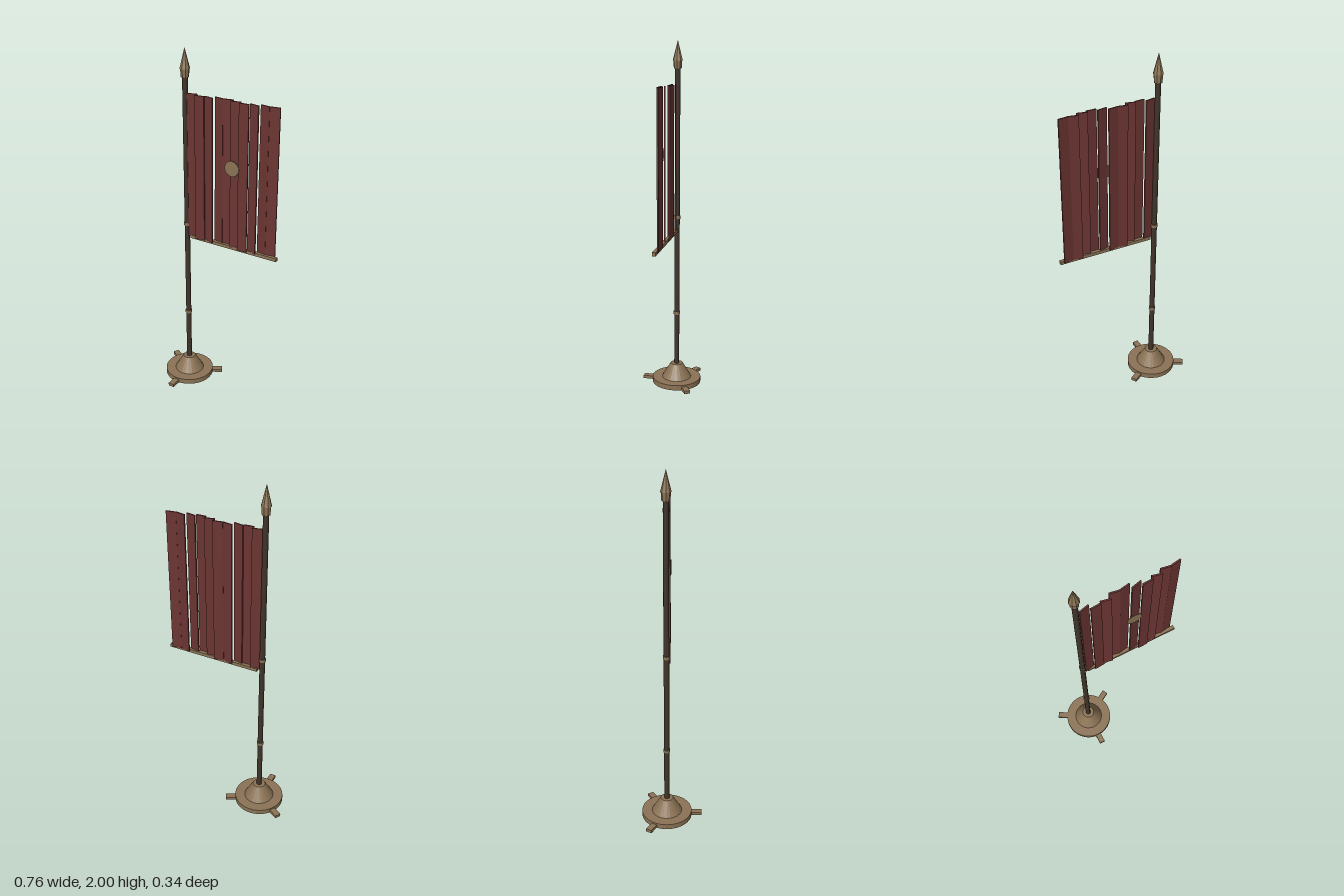
import * as THREE from 'three';

const brass = new THREE.MeshStandardMaterial({ color: 0x8b7355, flatShading: true });
const wood = new THREE.MeshStandardMaterial({ color: 0x40342a, flatShading: true });
const cloth = new THREE.MeshStandardMaterial({ color: 0x6b3533, flatShading: true });

const POLE_X = -0.197, POLE_Z = -0.03;

export function createModel() {
  const model = new THREE.Group();

  const add = (parent, name, geometry, material, x, y, z) => {
    const mesh = new THREE.Mesh(geometry, material);
    mesh.name = name;
    mesh.position.set(x, y, z);
    parent.add(mesh);
    return mesh;
  };
  // Upright round part between two heights
  const round = (parent, name, rTop, rBottom, y0, y1, sides, material) =>
    add(parent, name, new THREE.CylinderGeometry(rTop, rBottom, y1 - y0, sides), material, 0, (y0 + y1) / 2, 0);

  // Stand and pole share one axis
  const stand = new THREE.Group();
  stand.name = 'stand';
  stand.position.set(POLE_X, 0, POLE_Z);
  model.add(stand);

  round(stand, 'baseDisc', 0.143, 0.143, 0, 0.03, 32, brass);
  round(stand, 'baseCone', 0.036, 0.086, 0.03, 0.115, 24, brass);
  round(stand, 'pole', 0.015, 0.015, 0.1, 1.86, 12, wood);
  for (const y of [0.432, 1.01]) round(stand, 'poleRing', 0.019, 0.019, y - 0.009, y + 0.009, 12, brass);

  // Three feet spread evenly around the base
  for (let i = 0; i < 3; i++) {
    const foot = new THREE.Group();
    foot.name = 'foot';
    foot.rotation.y = (i * Math.PI * 2) / 3;
    add(foot, 'footBar', new THREE.BoxGeometry(0.035, 0.018, 0.1), brass, 0, 0.011, 0.151);
    stand.add(foot);
  }

  // Spear-shaped finial
  round(stand, 'finialCollar', 0.025, 0.022, 1.846, 1.892, 8, brass);
  round(stand, 'finialPoint', 0, 0.028, 1.89, 2, 8, brass);

  // Rippling banner made of tilted upright strips: [depth, turn]
  const banner = new THREE.Group();
  banner.name = 'banner';
  model.add(banner);
  const strips = [
    [-0.03, 0.25], [-0.016, 0.07], [-0.021, -0.22], [-0.04, -0.18], [-0.041, 0.17],
    [-0.027, 0.24], [-0.015, 0.03], [-0.026, -0.22], [-0.041, -0.17], [-0.042, 0.15],
  ];
  strips.forEach(([z, turn], i) => {
    const strip = add(banner, 'bannerStrip', new THREE.BoxGeometry(0.056, 0.825, 0.008), cloth,
      -0.154 + i * 0.054, 1.352, z);
    strip.rotation.y = turn;
  });

  // Lower rail and round emblem plate
  add(banner, 'bottomRail', new THREE.BoxGeometry(0.547, 0.019, 0.02), brass, 0.105, 0.938, -0.03);
  const emblem = add(banner, 'emblemDisc', new THREE.CylinderGeometry(0.043, 0.043, 0.004, 20), brass,
    0.105, 1.406, -0.009);
  emblem.rotation.x = Math.PI / 2;

  return model;
}
